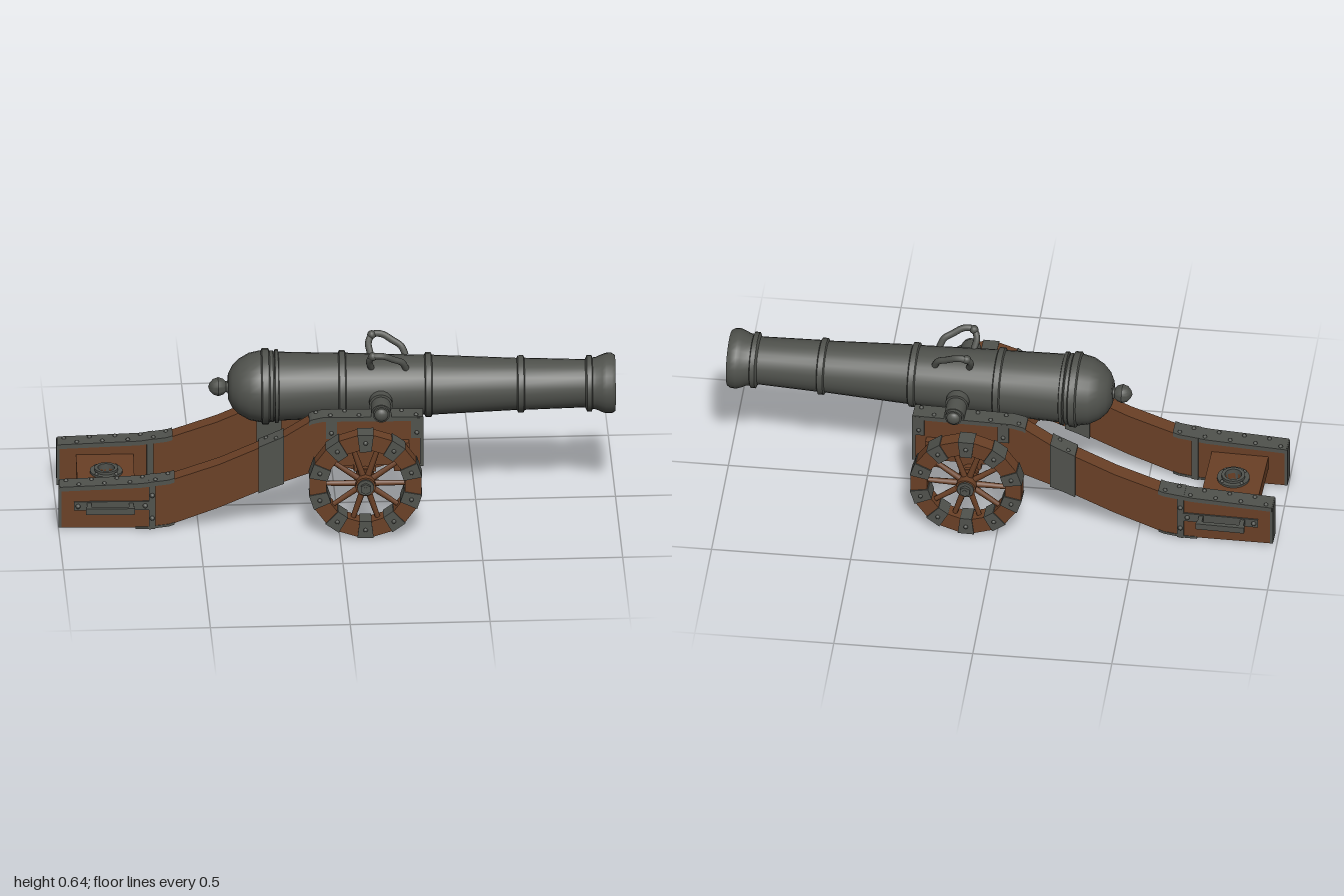
import * as THREE from 'three';
import { toCreasedNormals } from 'three/addons/utils/BufferGeometryUtils.js';

const iron = new THREE.MeshStandardMaterial({ color: 0x50524d });
const wood = new THREE.MeshStandardMaterial({ color: 0x6a4026 });

function add(parent, name, geometry, material, x = 0, y = 0, z = 0) {
  const mesh = new THREE.Mesh(geometry, material);
  mesh.name = name;
  mesh.position.set(x, y, z);
  parent.add(mesh);
  return mesh;
}
const box = (w, h, d) => new THREE.BoxGeometry(w, h, d);
const rodZ = (r, length, sides = 16) => new THREE.CylinderGeometry(r, r, length, sides).rotateX(Math.PI / 2);
const poly = (pts) => new THREE.Shape(pts.map(([x, y]) => new THREE.Vector2(x, y)));
// Extrusion centred on z = 0
const slab = (shape, depth) =>
  new THREE.ExtrudeGeometry(shape, { depth, bevelEnabled: false, curveSegments: 20 }).translate(0, 0, -depth / 2);
const lathe = (pts, sides) =>
  toCreasedNormals(new THREE.LatheGeometry(pts.map(([y, r]) => new THREE.Vector2(r, y)), sides), 0.6);

// Upper and lower edges of the carriage cheeks, tail to front
const TOP = [[-0.99, 0.17], [-0.7, 0.182], [-0.6, 0.195], [-0.42, 0.258], [-0.2, 0.357], [-0.09, 0.428], [-0.05, 0.437], [0.305, 0.437]];
const BOTTOM = [[-0.99, 0.014], [-0.68, 0.01], [-0.6, 0.02], [-0.42, 0.088], [-0.24, 0.168], [-0.06, 0.235], [0, 0.25], [0.305, 0.25]];
function heightAt(edge, x) {
  let i = 1;
  while (i < edge.length - 1 && edge[i][0] < x) i++;
  const [[x0, y0], [x1, y1]] = [edge[i - 1], edge[i]];
  return y0 + (y1 - y0) * (x - x0) / (x1 - x0);
}
// Points along an edge between two x positions, shifted vertically
function run(edge, x0, x1, dy) {
  const xs = [x0, ...edge.map((p) => p[0]).filter((x) => x > x0 && x < x1), x1];
  return xs.map((x) => [x, heightAt(edge, x) + dy]);
}

function buildBarrel() {
  const barrel = new THREE.Group();
  barrel.name = 'barrel';
  const ring = (x, r, w) => [[x - w, r - 0.009], [x - w * 0.7, r], [x + w * 0.7, r], [x + w, r - 0.009]];
  const profile = [
    [-0.456, 0], [-0.45, 0.015], [-0.438, 0.028], [-0.42, 0.034], [-0.402, 0.028], [-0.393, 0.019], [-0.386, 0.022],
    [-0.385, 0.045], [-0.37, 0.075], [-0.345, 0.1], [-0.31, 0.12], [-0.272, 0.128],
    ...ring(-0.252, 0.136, 0.016), [-0.225, 0.128], ...ring(-0.212, 0.132, 0.008),
    ...ring(0.022, 0.126, 0.014), ...ring(0.33, 0.116, 0.014), ...ring(0.66, 0.102, 0.014),
    [0.89, 0.086], ...ring(0.905, 0.101, 0.012), [0.93, 0.094], [0.95, 0.103], [0.965, 0.108], [0.985, 0.108],
    [0.998, 0.1], [0.998, 0.076], [0.985, 0.067], [0.5, 0.067], [0.5, 0],
  ];
  add(barrel, 'gunTube', lathe(profile, 28).rotateZ(-Math.PI / 2), iron, 0, 0.468, 0);

  add(barrel, 'trunnionBar', rodZ(0.03, 0.44, 20), iron, 0.158, 0.456, 0);
  for (const s of [1, -1]) {
    add(barrel, 'trunnionShoulder', rodZ(0.042, 0.04, 20), iron, 0.158, 0.456, s * 0.122);
    const tip = add(barrel, 'trunnionTip', new THREE.SphereGeometry(0.025, 16, 10), iron, 0.158, 0.456, s * 0.219);
    tip.scale.z = 0.65;
    // Curved lifting handle leaning outward
    const path = new THREE.CatmullRomCurve3([
      [0.125, 0.565, 0.056], [0.118, 0.6, 0.076], [0.132, 0.625, 0.091], [0.165, 0.627, 0.092],
      [0.205, 0.607, 0.08], [0.235, 0.59, 0.068], [0.25, 0.56, 0.056],
    ].map(([x, y, z]) => new THREE.Vector3(x, y, s * z)));
    add(barrel, 'liftingHandle', new THREE.TubeGeometry(path, 24, 0.012, 10), iron);
    add(barrel, 'handleEnd', new THREE.SphereGeometry(0.016, 12, 8), iron, 0.13, 0.625, s * 0.09);
  }
  return barrel;
}

function buildWheel(s) {
  const wheel = new THREE.Group();
  wheel.name = 'wheel';
  const circle = (r) => Array.from({ length: 20 }, (_, i) => {
    const a = (i + 0.5) * Math.PI / 10;
    return [r * Math.cos(a), r * Math.sin(a)];
  });
  const rim = poly(circle(0.202));
  rim.holes.push(new THREE.Path(circle(0.142).map(([x, y]) => new THREE.Vector2(x, y))));
  add(wheel, 'rim', slab(rim, 0.054), wood);
  for (let i = 0; i < 10; i++) {
    const arm = new THREE.Group();
    arm.name = 'wheelSection';
    arm.rotation.z = i * Math.PI / 5 + Math.PI / 10;
    wheel.add(arm);
    const plate = poly([[0.137, -0.021], [0.203, -0.029], [0.203, 0.029], [0.137, 0.021]]);
    add(arm, 'rimPlate', slab(plate, 0.064), iron);
    for (const side of [1, -1]) add(arm, 'rivet', new THREE.SphereGeometry(0.008, 8, 6), iron, 0.172, 0, side * 0.032);
    // Spokes meet the rim midway between plates
    const spoke = new THREE.CylinderGeometry(0.009, 0.012, 0.13, 8).rotateZ(-Math.PI / 2).translate(0.085, 0, 0);
    add(arm, 'spoke', spoke.rotateZ(Math.PI / 10), wood);
  }
  add(wheel, 'hub', rodZ(0.036, 0.07, 20), wood);
  add(wheel, 'hubBand', rodZ(0.03, 0.08, 20), iron, 0, 0, s * 0.003);
  add(wheel, 'axleNut', rodZ(0.02, 0.02, 6), iron, 0, 0, s * 0.045);
  add(wheel, 'axlePin', rodZ(0.009, 0.03, 10), iron, 0, 0, s * 0.042);
  wheel.position.set(0.1, 0.214, s * 0.275);
  return wheel;
}

function buildCheek(s) {
  const cheek = new THREE.Group();
  cheek.name = 'carriageCheek';
  cheek.position.z = s * 0.174;
  add(cheek, 'cheekBoard', slab(poly([...BOTTOM, ...[...TOP].reverse()]), 0.06), wood);

  // Straps wrapping the whole board
  for (const [x0, x1] of [[-0.28, -0.19], [-0.672, -0.648]]) {
    const shape = poly([...run(BOTTOM, x0, x1, -0.006), ...run(TOP, x0, x1, 0.006).reverse()]);
    add(cheek, 'wrapStrap', slab(shape, 0.07), iron);
  }
  // Plates along the top edge with rows of rivets
  for (const [x0, x1, n] of [[-0.99, -0.58, 9], [-0.27, -0.2, 2], [-0.1, 0.308, 8]]) {
    const shape = poly([...run(TOP, x0, x1, -0.012), ...run(TOP, x0, x1, 0.005).reverse()]);
    add(cheek, 'topPlate', slab(shape, 0.068), iron);
    for (let i = 0; i < n; i++) {
      const x = x0 + (x1 - x0) * (i + 0.5) / n;
      if (Math.abs(x - 0.158) < 0.03) continue;
      add(cheek, 'rivet', new THREE.SphereGeometry(0.008, 8, 6), iron, x, heightAt(TOP, x) + 0.005, (i % 2 ? 1 : -1) * 0.018);
    }
  }
  // Edge plates on the tail, the tail underside and the front
  add(cheek, 'tailPlate', box(0.01, 0.157, 0.066), iron, -0.989, 0.094, 0);
  const under = poly([...run(BOTTOM, -0.72, -0.58, -0.005), ...run(BOTTOM, -0.72, -0.58, 0.004).reverse()]);
  add(cheek, 'underPlate', slab(under, 0.064), iron);
  for (const z of [-0.032, 0.032]) add(cheek, 'frontEdge', box(0.012, 0.19, 0.006), iron, 0.303, 0.344, z);
  add(cheek, 'frontSill', box(0.012, 0.006, 0.07), iron, 0.303, 0.25, 0);
  for (const x of [-0.02, 0.285]) {
    add(cheek, 'sidePlate', box(0.04, 0.08, 0.007), iron, x, 0.398, s * 0.031);
    add(cheek, 'rivet', new THREE.SphereGeometry(0.008, 8, 6), iron, x, 0.38, s * 0.034);
  }
  for (const y of [0.05, 0.14]) add(cheek, 'rivet', new THREE.SphereGeometry(0.009, 8, 6), iron, -0.66, y, s * 0.035);

  // Cap holding the trunnion down
  const cap = new THREE.Shape();
  cap.absarc(0, 0, 0.036, Math.PI, 0, true);
  cap.lineTo(0.036, -0.016);
  cap.lineTo(-0.036, -0.016);
  add(cheek, 'trunnionCap', slab(cap, 0.066), iron, 0.158, 0.453, 0);

  // Lifting grip on the outside of the tail
  add(cheek, 'gripPlate', box(0.27, 0.034, 0.007), iron, -0.805, 0.1, s * 0.032);
  for (const x of [-0.925, -0.685]) add(cheek, 'rivet', new THREE.SphereGeometry(0.009, 8, 6), iron, x, 0.1, s * 0.036);
  for (const x of [-0.885, -0.735]) add(cheek, 'gripLeg', box(0.016, 0.024, 0.05), iron, x, 0.1, s * 0.055);
  add(cheek, 'gripBar', box(0.175, 0.024, 0.016), iron, -0.81, 0.1, s * 0.076);
  return cheek;
}

function buildTailTransom() {
  const transom = new THREE.Group();
  transom.name = 'tailTransom';
  transom.rotation.x = -Math.PI / 2;
  transom.position.set(-0.82, 0.108, 0);
  // Flat ring shapes are drawn in plan, then extruded upward
  const withHole = (shape) => {
    const hole = new THREE.Path();
    hole.absarc(0, 0, 0.03, 0, Math.PI * 2, true);
    shape.holes.push(hole);
    return shape;
  };
  const disc = (r) => withHole(new THREE.Shape().absarc(0, 0, r, 0, Math.PI * 2, false));
  add(transom, 'transomBoard', slab(withHole(poly([[-0.105, -0.15], [0.1, -0.15], [0.1, 0.15], [-0.105, 0.15]])), 0.052), wood);
  add(transom, 'ringPlate', slab(disc(0.058), 0.068), iron);
  add(transom, 'ringCollar', slab(disc(0.042), 0.022), iron, 0, 0, 0.033);
  for (let i = 0; i < 4; i++) {
    const a = (i + 0.5) * Math.PI / 2;
    add(transom, 'rivet', new THREE.SphereGeometry(0.007, 8, 6), iron, 0.05 * Math.cos(a), 0.05 * Math.sin(a), 0.034);
  }
  return transom;
}

export function createModel() {
  const model = new THREE.Group();
  model.name = 'fieldCannon';
  // Everything is symmetric about its own axis, turned slightly about the axle
  const body = new THREE.Group();
  body.name = 'body';
  body.rotation.y = -0.03;
  body.position.set(0.1 - 0.1 * Math.cos(0.03), 0, -0.003);
  model.add(body);

  body.add(buildBarrel(), buildTailTransom());
  for (const s of [1, -1]) {
    body.add(buildCheek(s), buildWheel(s));
    add(body, 'axleCollar', rodZ(0.038, 0.012, 20), wood, 0.1, 0.214, s * 0.238);
    add(body, 'axleBlock', box(0.08, 0.03, 0.06), wood, 0.1, 0.24, s * 0.174);
  }
  add(body, 'axle', rodZ(0.032, 0.56, 20), wood, 0.1, 0.214, 0);
  add(body, 'frontTransom', box(0.055, 0.11, 0.465), wood, 0.23, 0.295, 0);
  return model;
}
